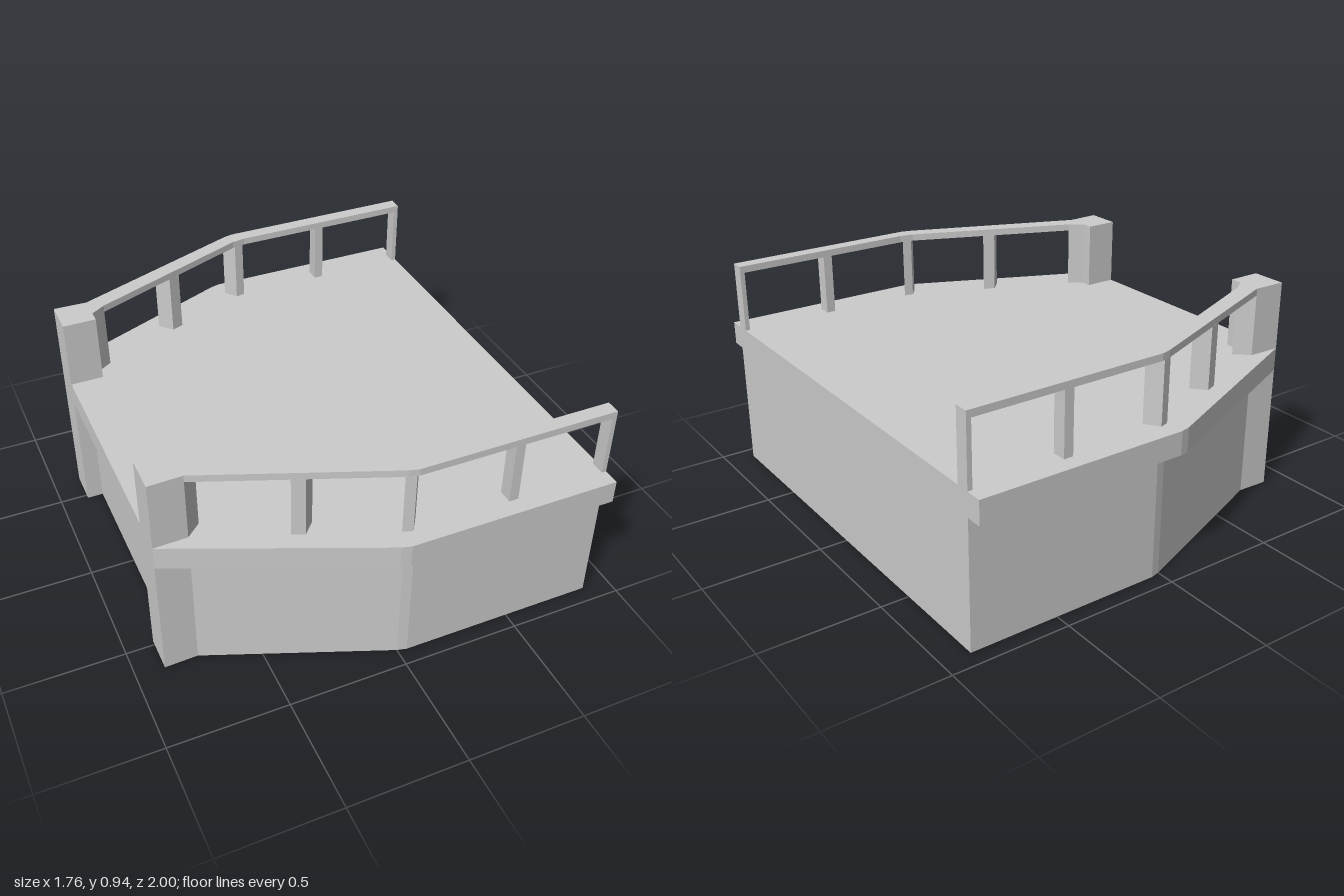
import * as THREE from 'three';

const FLOOR = 0.645, RIM = 0.545, RAIL = 0.91, TOP = 0.94;

const material = new THREE.MeshStandardMaterial({ color: 0xcccccc, flatShading: true, side: THREE.DoubleSide });

// Plan points are [x, z]
const mirror = (pts) => pts.map(([x, z]) => [x, -z]);
const loop = (half) => [...half, ...mirror(half).reverse()];
const planShape = (pts) => new THREE.Shape(pts.map(([x, z]) => new THREE.Vector2(x, z)));

function add(parent, geometry, name) {
  const mesh = new THREE.Mesh(geometry, material);
  mesh.name = name;
  parent.add(mesh);
}

// Solid prism over a plan outline
function prism(pts, y0, y1) {
  const g = new THREE.ExtrudeGeometry(planShape(pts), { depth: y1 - y0, bevelEnabled: false });
  return g.rotateX(Math.PI / 2).translate(0, y1, 0);
}

// Flat sheet over a plan outline; faces down unless up is set
function sheet(pts, y, up = false) {
  const g = new THREE.ShapeGeometry(planShape(pts)).rotateX(Math.PI / 2);
  if (up) {
    g.index.array.reverse();
    g.computeVertexNormals();
  }
  return g.translate(0, y, 0);
}

// Thin upright wall along a closed plan outline
function wall(pts, y0, y1) {
  const v = [];
  pts.forEach(([ax, az], i) => {
    const [bx, bz] = pts[(i + 1) % pts.length];
    v.push(ax, y0, az, bx, y1, bz, bx, y0, bz, ax, y0, az, ax, y1, az, bx, y1, bz);
  });
  const g = new THREE.BufferGeometry();
  g.setAttribute('position', new THREE.Float32BufferAttribute(v, 3));
  g.computeVertexNormals();
  return g;
}

export function createModel() {
  const model = new THREE.Group();
  model.name = 'terrace';

  // Half outlines, from the wide end to the narrow end
  const deckHalf = [[0.88, 1], [-0.01, 1], [-0.05, 0.99], [-0.88, 0.63]];
  const wallHalf = [[0.88, 0.93], [0.04, 0.93], [0, 0.92], [-0.74, 0.625], [-0.88, 0.63]];
  const innerHalf = [[-0.68, 0.57], [0.02, 0.86], [0.08, 0.87], [0.88, 0.87]];

  // Hollow base with a recessed end wall, open underneath
  add(model, wall(loop([...wallHalf, [-0.88, 0.48], [-0.81, 0.48]]), 0, RIM), 'baseWall');

  // Overhanging deck shell
  const deck = loop(deckHalf);
  add(model, sheet(deck, FLOOR, true), 'deckFloor');
  add(model, wall(deck, RIM, FLOOR), 'deckRim');
  add(model, sheet([[-0.88, -0.48], [-0.81, -0.48], [-0.81, 0.48], [-0.88, 0.48]], RIM), 'endSoffit');

  const soffit = [...deckHalf, ...wallHalf.slice(0, 4).reverse()];
  const rail = [...wallHalf.slice(0, 4), ...innerHalf];
  const column = [[-0.88, 0.63], [-0.88, 0.48], [-0.74, 0.48], [-0.74, 0.53], [-0.68, 0.57], [-0.74, 0.625]];
  const posts = [
    [[-0.39, 0.765], [-0.34, 0.785], [-0.29, 0.73], [-0.34, 0.71]],
    [[-0.01, 0.915], [0.03, 0.929], [0.07, 0.869], [0.03, 0.862]],
    [[0.44, 0.93], [0.48, 0.93], [0.48, 0.87], [0.44, 0.87]],
    [[0.86, 0.93], [0.88, 0.93], [0.88, 0.87], [0.86, 0.87]],
  ];

  // Railing, end column and soffit on both sides
  for (const [side, place] of [['left', (p) => p], ['right', mirror]]) {
    const group = new THREE.Group();
    group.name = side === 'left' ? 'frontRailing' : 'backRailing';
    add(group, sheet(place(soffit), RIM), 'sideSoffit');
    add(group, prism(place(rail), RAIL, TOP), 'handrail');
    add(group, prism(place(column), FLOOR - 0.02, TOP), 'endColumn');
    posts.forEach((p) => add(group, prism(place(p), FLOOR - 0.02, RAIL), 'railingPost'));
    model.add(group);
  }
  return model;
}
